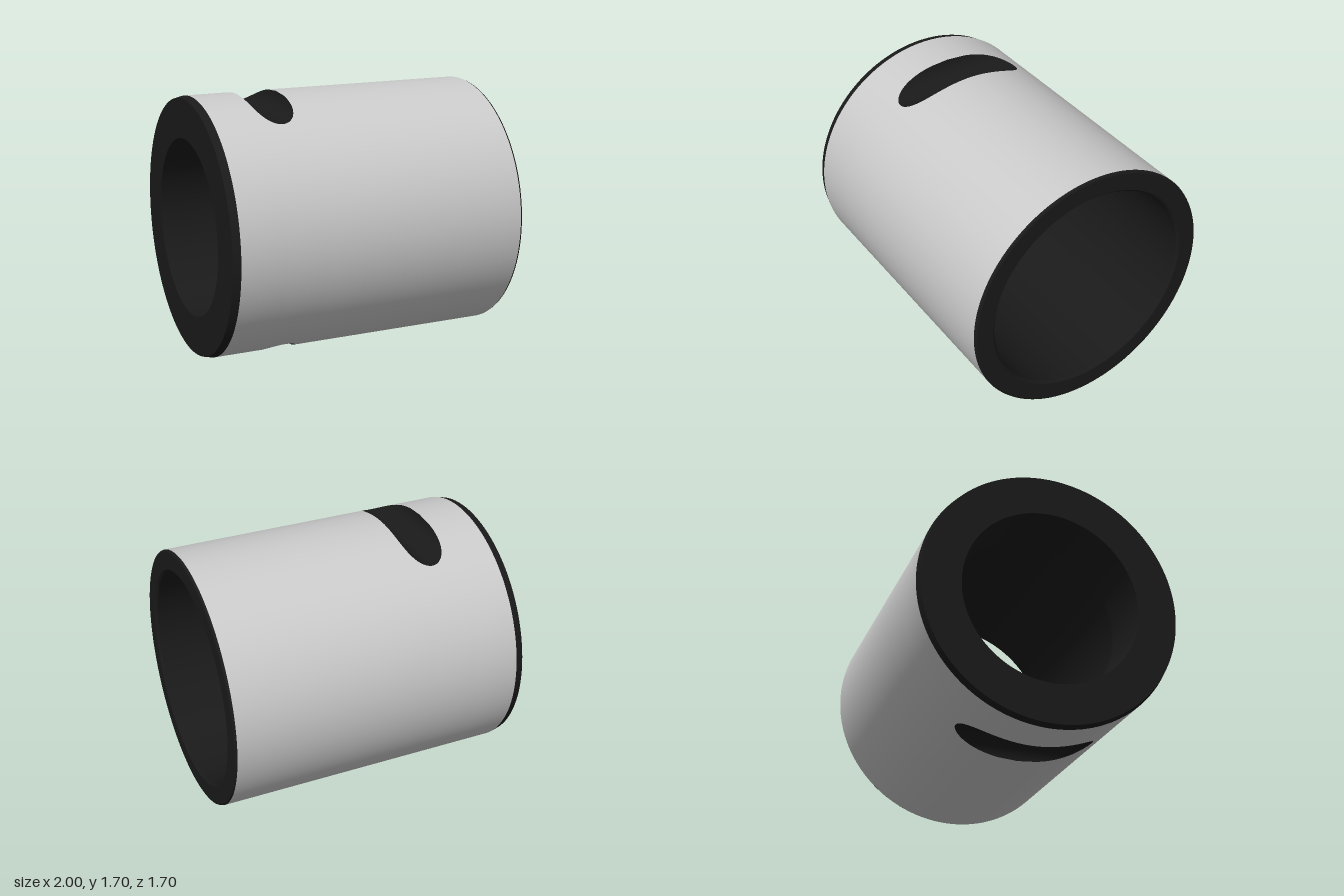
import * as THREE from 'three';
import { toCreasedNormals } from 'three/addons/utils/BufferGeometryUtils.js';

const R = 0.85;                       // outer radius, also height of the axis
const SEG = 160;
const SLOT = { x: -0.515, halfWidth: 0.138, depth: 0.13 };

// Turned surface about the x axis; profile holds [x, radius] pairs.
function turned(profile) {
  const g = new THREE.LatheGeometry(profile.map(([x, r]) => new THREE.Vector2(r, x)), SEG);
  g.rotateZ(-Math.PI / 2);
  return toCreasedNormals(g, 0.35);
}

// Grid surface: at(u, v) returns { p, n } for u, v in 0..1.
function surface(at, nu, nv) {
  const pos = [], nor = [], idx = [];
  for (let i = 0; i <= nu; i++) {
    for (let j = 0; j <= nv; j++) {
      const { p, n } = at(i / nu, j / nv);
      pos.push(...p);
      nor.push(...n);
      if (i < nu && j < nv) {
        const a = i * (nv + 1) + j, b = a + nv + 1;
        idx.push(a, b, a + 1, b, b + 1, a + 1);
      }
    }
  }
  const g = new THREE.BufferGeometry();
  g.setAttribute('position', new THREE.Float32BufferAttribute(pos, 3));
  g.setAttribute('normal', new THREE.Float32BufferAttribute(nor, 3));
  g.setIndex(idx);
  return g;
}

// Half-round slot section: u runs across the slot along x.
function slotSection(u) {
  const a = u * Math.PI;
  const x = SLOT.x - SLOT.halfWidth * Math.cos(a);
  const h = R - SLOT.depth * Math.sin(a);
  return { a, x, h, half: Math.acos(Math.min(1, h / R)) };
}

export function createModel() {
  const model = new THREE.Group();
  const body = new THREE.Group();
  body.position.y = R;
  model.add(body);

  const grey = new THREE.MeshStandardMaterial({ color: 0xcccccc });
  const dark = new THREE.MeshStandardMaterial({ color: 0x1a1a1a });
  const add = (name, geometry, material) => {
    const mesh = new THREE.Mesh(geometry, material);
    mesh.name = name;
    body.add(mesh);
    return mesh;
  };

  // Outer shell on either side of the slots
  const x0 = SLOT.x - SLOT.halfWidth, x1 = SLOT.x + SLOT.halfWidth;
  add('outerShellShort', turned([[-0.95, R], [x0, R]]), grey);
  add('outerShellLong', turned([[x1, R], [0.985, R]]), grey);

  // Shell walls between the slots, front and back
  const band = surface((u, v) => {
    const { x, half } = slotSection(u);
    const t = half + v * (Math.PI - 2 * half);      // angle from straight up
    const y = Math.cos(t), z = Math.sin(t);
    return { p: [x, R * y, R * z], n: [0, y, z] };
  }, 40, 80);
  band.index.array.reverse();

  // Slot floor, a half-round channel running straight across in z
  const channel = surface((u, v) => {
    const { a, x, h, half } = slotSection(u);
    const z = R * Math.sin(half) * (2 * v - 1);
    const n = new THREE.Vector3(Math.cos(a) / SLOT.halfWidth, Math.sin(a) / SLOT.depth, 0).normalize();
    return { p: [x, h, z], n: n.toArray() };
  }, 40, 16);
  channel.index.array.reverse();

  // Half turns about x give the opposite wall and slot
  for (const [i, side] of ['front', 'back'].entries()) {
    add(side + 'SlotWall', band, grey).rotation.x = i * Math.PI;
  }
  for (const [i, side] of ['top', 'bottom'].entries()) {
    add(side + 'Slot', channel, dark).rotation.x = i * Math.PI;
  }

  // End faces, chamfers and stepped bore
  add('boreAndEnds', turned([
    [0.985, R], [0.995, 0.846], [1, 0.835],
    [1, 0.72], [0.985, 0.705],
    [-0.52, 0.705], [-0.61, 0.58],
    [-1, 0.58], [-1, 0.838], [-0.95, R],
  ]), dark);

  // Keep surface winding in step with the stored normals
  for (const g of [band, channel]) {
    const p = g.attributes.position, n = g.attributes.normal, k = g.index;
    const m = Math.floor(k.count / 12) * 6;
    const [A, B, C] = [0, 1, 2].map(j => new THREE.Vector3().fromBufferAttribute(p, k.getX(m + j)));
    const face = B.sub(A).cross(C.sub(A));
    if (face.dot(new THREE.Vector3().fromBufferAttribute(n, k.getX(m))) < 0) k.array.reverse();
  }
  return model;
}
